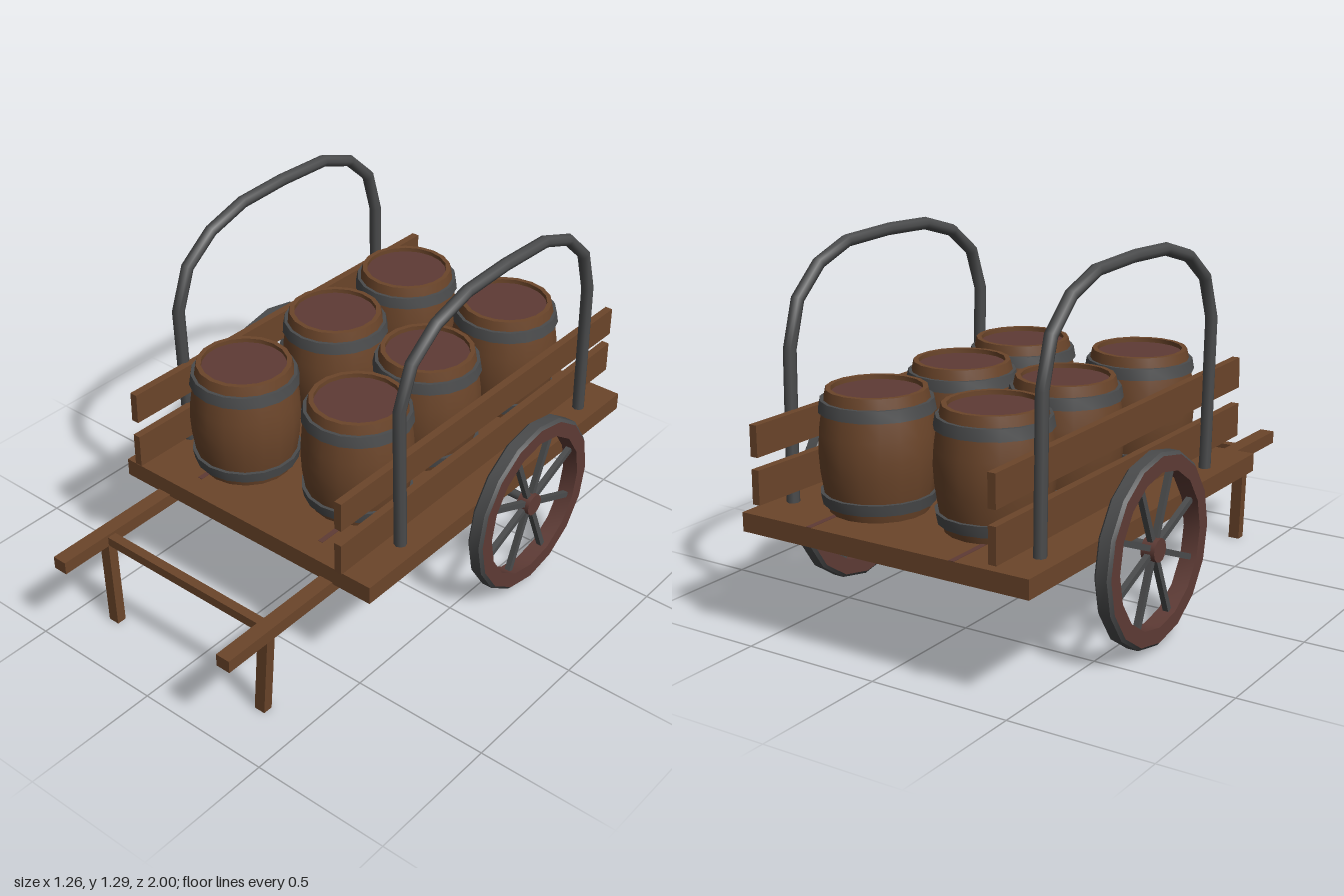
import * as THREE from 'three';
import { toCreasedNormals } from 'three/addons/utils/BufferGeometryUtils.js';

const mat = (name, color, extra = {}) => new THREE.MeshStandardMaterial({ name, color, ...extra });

// Curve that passes exactly through its points, giving a faceted tube
class BentPath extends THREE.Curve {
  constructor(points) { super(); this.points = points; }
  getPoint(t) { return this.points[Math.round(t * (this.points.length - 1))].clone(); }
  getPointAt(t) { return this.getPoint(t); }
  getTangentAt(t) {
    const n = this.points.length - 1, i = Math.round(t * n);
    const a = this.points[Math.max(i - 1, 0)], b = this.points[Math.min(i + 1, n)];
    return b.clone().sub(a).normalize();
  }
}

export function createModel() {
  const wood = mat('wood', 0x6b452a);
  const redWood = mat('redWood', 0x5e3b35);
  const metal = mat('metal', 0x4a4b4c);
  const cart = new THREE.Group();
  cart.name = 'cart';

  const add = (parent, name, geometry, material, x = 0, y = 0, z = 0) => {
    const mesh = new THREE.Mesh(geometry, material);
    mesh.name = name;
    mesh.position.set(x, y, z);
    parent.add(mesh);
    return mesh;
  };
  // Box given by its minimum and maximum on each axis
  const box = (name, x0, x1, y0, y1, z0, z1, material = wood) => add(cart, name,
    new THREE.BoxGeometry(x1 - x0, y1 - y0, z1 - z0), material,
    (x0 + x1) / 2, (y0 + y1) / 2, (z0 + z1) / 2);
  const lathe = (points, sides, crease = 0.6) => toCreasedNormals(
    new THREE.LatheGeometry(points.map(([r, y]) => new THREE.Vector2(r, y)), sides), crease);

  // Deck with two narrow seams
  box('deck', -0.555, 0.545, 0.375, 0.44, -0.96, 0.51);
  for (const x of [-0.28, 0.27]) box('deckSeam', x - 0.009, x + 0.009, 0.438, 0.4415, -0.96, 0.43, redWood);

  // Side boards, each slightly tilted: [x, centre height, height, tilt]
  const boards = [
    [-0.455, 0.71, 0.11, -0.012], [-0.455, 0.54, 0.12, -0.006],
    [0.446, 0.702, 0.105, 0.002], [0.446, 0.542, 0.115, 0.012],
  ];
  for (const [x, y, h, tilt] of boards) {
    const board = add(cart, 'sideBoard', new THREE.BoxGeometry(0.028, h, 1.55), wood, x, y, -0.225);
    board.rotation.x = tilt;
  }

  // Shafts, front legs and crossbar
  for (const [x, topX, footX] of [[-0.378, -0.368, -0.357], [0.362, 0.355, 0.33]]) {
    const shaft = box('shaft', x - 0.027, x + 0.027, 0.337, 0.383, -0.45, 1);
    shaft.rotation.x = 0.006;
    const legGeo = new THREE.BoxGeometry(0.042, 0.34, 0.036);
    const p = legGeo.attributes.position;
    for (let i = 0; i < p.count; i++) p.setX(i, p.getX(i) + (p.getY(i) > 0 ? topX : footX));
    legGeo.computeVertexNormals();
    add(cart, 'frontLeg', legGeo, wood, 0, 0.17, 0.793);
  }
  box('crossbar', -0.355, 0.34, 0.337, 0.37, 0.772, 0.806);

  // Axle
  const axle = add(cart, 'axle', new THREE.CylinderGeometry(0.016, 0.016, 1.16, 10), metal, 0, 0.347, -0.305);
  axle.rotation.z = Math.PI / 2;

  // Wheels: rim, tyre, hub and spokes, turned about y then laid on their side
  const rimGeo = lathe([[0.315, 0.03], [0.262, 0.03], [0.262, -0.03], [0.315, -0.03]], 16);
  const tyreGeo = lathe([[0.315, -0.03], [0.326, -0.02], [0.326, 0.02], [0.315, 0.03]], 16);
  const hubGeo = new THREE.CylinderGeometry(0.04, 0.04, 0.05, 12);
  const spokeGeo = new THREE.BoxGeometry(0.23, 0.02, 0.02).translate(0.15, 0, 0);
  for (const side of [-1, 1]) {
    const wheel = new THREE.Group();
    wheel.name = side > 0 ? 'leftWheel' : 'rightWheel';
    wheel.position.set(side * 0.6, 0.338, -0.305);
    wheel.rotation.z = -side * Math.PI / 2;
    add(wheel, 'rim', rimGeo, redWood);
    add(wheel, 'tyre', tyreGeo, metal);
    add(wheel, 'hub', hubGeo, redWood);
    for (let i = 0; i < 8; i++) {
      add(wheel, 'spoke', spokeGeo, metal).rotation.y = (i + 0.5) * Math.PI / 4;
    }
    cart.add(wheel);
  }

  // Arched metal rails, points as [z, y]
  const arch = [[0.268, 0.43], [0.29, 0.97], [0.235, 1.12], [0.115, 1.21], [-0.045, 1.257],
    [-0.25, 1.265], [-0.475, 1.257], [-0.62, 1.205], [-0.73, 1.105], [-0.777, 0.95], [-0.79, 0.43]];
  for (const x of [-0.483, 0.478]) {
    const path = new BentPath(arch.map(([z, y]) => new THREE.Vector3(x, y, z)));
    add(cart, 'archedRail', new THREE.TubeGeometry(path, arch.length - 1, 0.022, 8), metal);
  }

  // Barrels: bulging body, recessed lid and two hoops
  const bodyGeo = lathe([[0, 0], [0.163, 0], [0.178, 0.06], [0.19, 0.14], [0.194, 0.203],
    [0.19, 0.265], [0.178, 0.345], [0.165, 0.405], [0.148, 0.405], [0.148, 0.388]], 18);
  const lidGeo = new THREE.CircleGeometry(0.149, 18).rotateX(-Math.PI / 2);
  const upperHoopGeo = lathe([[0.165, 0.332], [0.191, 0.332], [0.184, 0.371], [0.165, 0.371]], 18);
  const lowerHoopGeo = lathe([[0.16, 0.028], [0.184, 0.028], [0.191, 0.066], [0.165, 0.066]], 18);
  const spots = [[-0.22, -0.64], [0.205, -0.68], [-0.22, -0.228], [0.19, -0.235], [-0.235, 0.235], [0.205, 0.16]];
  spots.forEach(([x, z], i) => {
    const barrel = new THREE.Group();
    barrel.name = 'barrel';
    barrel.position.set(x, 0.44, z);
    barrel.rotation.y = i * 0.7;
    add(barrel, 'barrelBody', bodyGeo, wood);
    add(barrel, 'barrelLid', lidGeo, redWood, 0, 0.39, 0);
    add(barrel, 'upperHoop', upperHoopGeo, metal);
    add(barrel, 'lowerHoop', lowerHoopGeo, metal);
    cart.add(barrel);
  });

  return cart;
}
